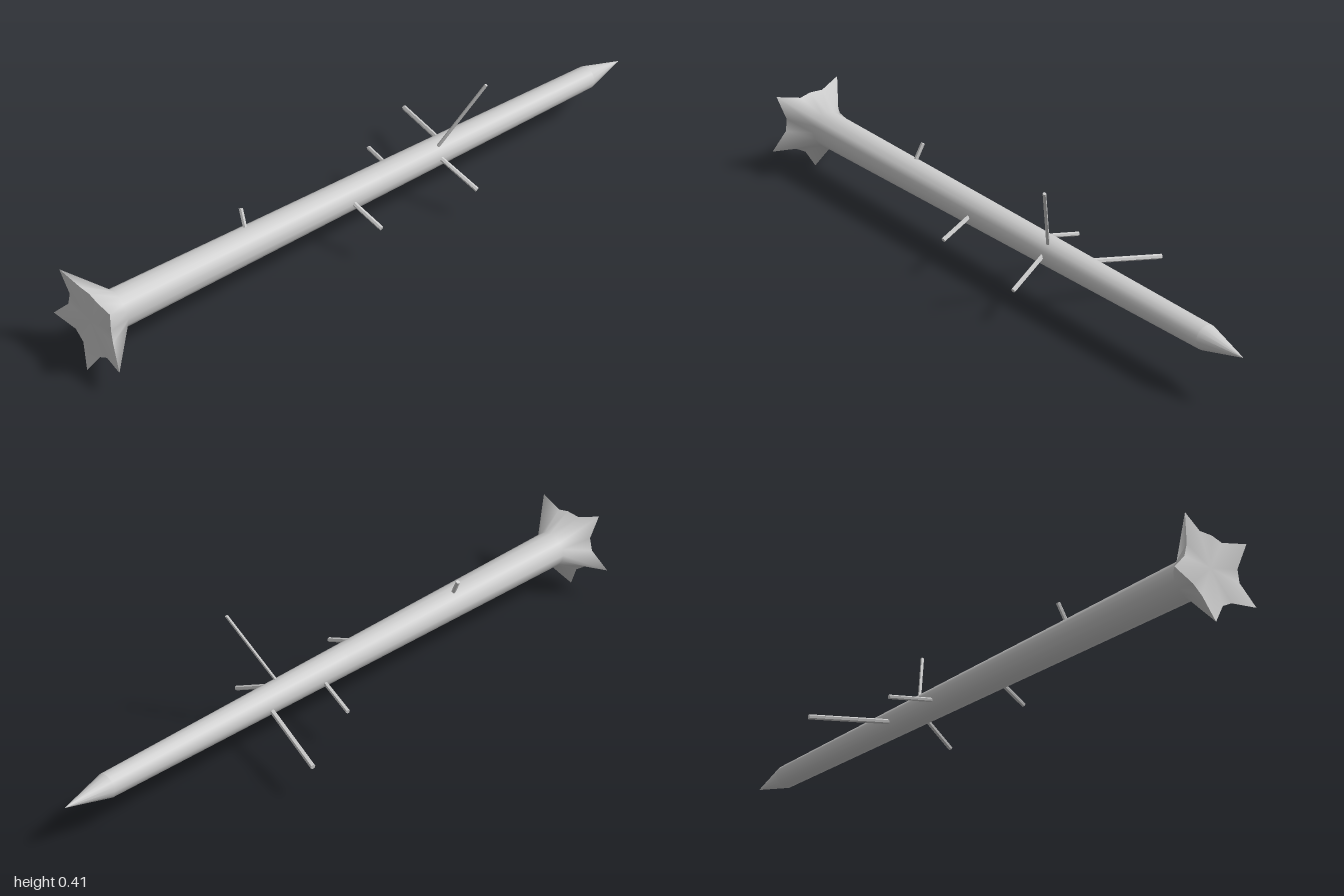
import * as THREE from 'three';

const SIDES = 16;

// Root flare outline, one point per trunk side, counter-clockwise from +x
const FLARE = [
  [0.159, 0.157], [0.154, 0.196], [0.178, 0.272], [0.1, 0.255],
  [0.063, 0.264], [0.018, 0.262], [-0.05, 0.287], [-0.033, 0.208],
  [-0.044, 0.168], [-0.098, 0.113], [-0.018, 0.098], [0.014, 0.073],
  [0.045, 0.003], [0.09, 0.068], [0.124, 0.087], [0.202, 0.093],
];
const ROOT_TIPS = [2, 6, 9, 12, 15];

const material = new THREE.MeshStandardMaterial({ color: 0xcccccc });
const branchMaterial = new THREE.MeshStandardMaterial({ color: 0xcccccc, flatShading: true });

function circleRing(x, y, z, r) {
  return FLARE.map((_, i) => {
    const a = (i / SIDES) * Math.PI * 2;
    return [x + r * Math.cos(a), y + r * Math.sin(a), z];
  });
}

// Joins rings that advance towards +z into a smooth skin
function loft(rings) {
  const index = [];
  for (let r = 0; r < rings.length - 1; r++) {
    for (let i = 0; i < SIDES; i++) {
      const a = r * SIDES + i, b = r * SIDES + (i + 1) % SIDES;
      index.push(a, b, b + SIDES, a, b + SIDES, a + SIDES);
    }
  }
  const g = new THREE.BufferGeometry();
  g.setAttribute('position', new THREE.Float32BufferAttribute(rings.flat(2), 3));
  g.setIndex(index);
  g.computeVertexNormals();
  return g;
}

// Closes a ring with a fan facing +z
function fan(ring, center) {
  const index = [];
  for (let i = 0; i < SIDES; i++) index.push(SIDES, i, (i + 1) % SIDES);
  const g = new THREE.BufferGeometry();
  g.setAttribute('position', new THREE.Float32BufferAttribute([...ring, center].flat(), 3));
  g.setIndex(index);
  g.computeVertexNormals();
  return g;
}

function branch(from, to, radius) {
  const a = new THREE.Vector3(...from), b = new THREE.Vector3(...to);
  const dir = b.clone().sub(a);
  const mesh = new THREE.Mesh(
    new THREE.CylinderGeometry(radius, radius, dir.length(), 6), branchMaterial);
  mesh.position.copy(a).add(b).multiplyScalar(0.5);
  mesh.quaternion.setFromUnitVectors(new THREE.Vector3(0, 1, 0), dir.normalize());
  return mesh;
}

export function createModel() {
  const group = new THREE.Group();
  const add = (name, mesh) => { mesh.name = name; group.add(mesh); };

  // Trunk: pointed top, slow taper, flare into five root points
  const flareRing = FLARE.map(([x, y], i) => [x, y, ROOT_TIPS.includes(i) ? 1 : 0.985]);
  const shoulder = circleRing(0.057, 0.165, -0.86, 0.036);
  add('trunk', new THREE.Mesh(loft([
    shoulder,
    circleRing(0.056, 0.166, 0, 0.046),
    circleRing(0.055, 0.166, 0.9, 0.056),
    flareRing,
  ]), material));
  add('trunkTip', new THREE.Mesh(loft([
    circleRing(0.057, 0.165, -1, 0.0005), shoulder,
  ]), material));
  add('rootEnd', new THREE.Mesh(fan(flareRing, [0.055, 0.167, 0.982]), material));

  // Bare branch stubs
  add('tallBranch', branch([0.078, 0.2, -0.23], [0.169, 0.415, -0.326], 0.005));
  add('longRightBranch', branch([0.03, 0.156, -0.295], [-0.224, 0.124, -0.366], 0.0075));
  add('shortRightBranch', branch([0.03, 0.156, -0.092], [-0.115, 0.138, -0.13], 0.0065));
  add('upperLeftBranch', branch([0.085, 0.172, -0.224], [0.221, 0.11, -0.255], 0.007));
  add('lowerLeftBranch', branch([0.09, 0.168, 0.11], [0.202, 0.127, 0.094], 0.007));
  add('topStub', branch([0.042, 0.205, 0.452], [0.016, 0.26, 0.446], 0.0065));
  return group;
}
